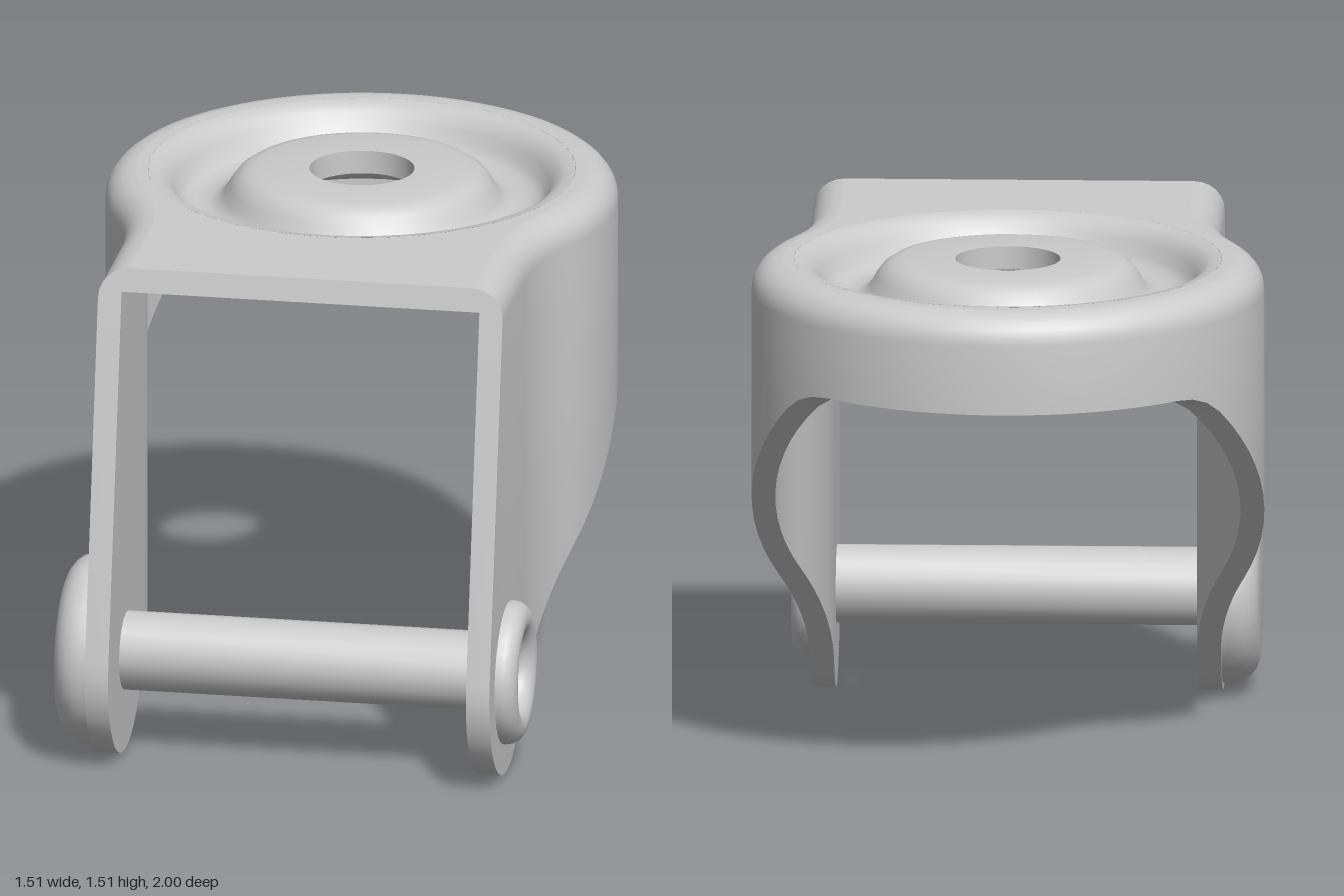
import * as THREE from 'three';
import { toCreasedNormals } from 'three/addons/utils/BufferGeometryUtils.js';

const TOP = 1.515, WALL = 0.07, FILLET = 0.09;
const CZ = -0.25, R = 0.755;              // swivel disc centre and radius
const HALF = 0.605, NECK_Z = 0.42;        // half width of the fork, start of the straight legs
const PIN_Y = 0.305, PIN_Z = 0.7, FRONT_Z = 0.76;
const DISH_R = 0.63;

const material = new THREE.MeshStandardMaterial({ color: 0xcccccc, side: THREE.DoubleSide });

function part(name, geometry, crease = 0.6) {
  const mesh = new THREE.Mesh(toCreasedNormals(geometry, crease), material);
  mesh.name = name;
  return mesh;
}

// Lower edge of the side walls: a diagonal easing into the level rear skirt
function lowerEdge(z) {
  if (z > -0.65) return 0.081 + 0.93 * (0.496 - z);
  const t = Math.min((-0.65 - z) / 0.15, 1);
  return 1.147 + 0.14 * t * (1 - t / 2);
}

// Stations along one half of the keyhole outline, front to back
function halfOutline() {
  const out = [];
  // Straight leg: lower ends run along the rounded foot
  const foot = [];
  const n = 16, a0 = 3.96, a1 = 6.49;
  for (let i = 0; i <= n; i++) {
    const a = a1 + (a0 - a1) * i / n;
    foot.push([PIN_Z + 0.3 * Math.cos(a), 0.3 + 0.3 * Math.sin(a)]);
  }
  foot.push([NECK_Z, lowerEdge(NECK_Z)]);
  foot.forEach(([bz, by], i) => {
    const z = FRONT_Z + (NECK_Z - FRONT_Z) * i / (foot.length - 1);
    out.push({ x: HALF, z, nx: 1, nz: 0, bz, by });
  });
  // Concave neck arc
  const r = 0.816, sweep = 0.4407;
  for (let i = 1; i <= 8; i++) {
    const a = sweep * i / 8;
    out.push({ x: HALF + r - r * Math.cos(a), z: NECK_Z - r * Math.sin(a), nx: Math.cos(a), nz: Math.sin(a) });
  }
  // Disc arc to the rear centre
  for (let i = 1; i <= 24; i++) {
    const a = sweep - (sweep + Math.PI / 2) * i / 24;
    out.push({ x: R * Math.cos(a), z: CZ + R * Math.sin(a), nx: Math.cos(a), nz: Math.sin(a) });
  }
  return out;
}

function fullOutline() {
  const half = halfOutline();
  const other = half.slice(0, -1).reverse().map(s => ({ ...s, x: -s.x, nx: -s.nx }));
  return [...half, ...other];
}

// Wall cross-section at a station: inner face, lower edge, outer face, top fillet
function section(s) {
  const at = (d, y) => {
    const z = s.z - s.nz * d;
    const low = s.by ?? lowerEdge(z);
    const yy = y ?? low;
    const shift = s.bz === undefined ? 0 : (s.bz - s.z) * (TOP - yy) / (TOP - low);
    return [s.x - s.nx * d, yy, z + shift];
  };
  const pts = [at(FILLET, TOP - WALL), at(WALL, TOP - WALL), at(WALL), at(0)];
  for (let i = 0; i <= 6; i++) {
    const a = Math.PI / 2 * i / 6;
    pts.push(at(FILLET * (1 - Math.cos(a)), TOP - FILLET + FILLET * Math.sin(a)));
  }
  return pts;
}

function wallGeometry(outline) {
  const rows = outline.map(section), m = rows[0].length;
  const index = [];
  for (let i = 0; i < rows.length - 1; i++) {
    for (let j = 0; j < m - 1; j++) {
      const a = i * m + j, b = a + m;
      index.push(a, b, b + 1, a, b + 1, a + 1);
    }
  }
  // Front edges of both legs
  for (const i of [0, rows.length - 1]) {
    const flat = rows[i].map(p => new THREE.Vector2(p[0], p[1]));
    for (const f of THREE.ShapeUtils.triangulateShape(flat, [])) index.push(...f.map(k => i * m + k));
  }
  const g = new THREE.BufferGeometry();
  g.setAttribute('position', new THREE.Float32BufferAttribute(rows.flat(2), 3));
  g.setIndex(index);
  return g;
}

// Flat top with a round opening for the dish
function plateGeometry(outline) {
  const shape = new THREE.Shape(outline.map(s =>
    new THREE.Vector2(s.x - s.nx * FILLET, -(s.z - s.nz * FILLET))));
  shape.holes.push(new THREE.Path().absarc(0, -CZ, DISH_R, 0, Math.PI * 2, true));
  const g = new THREE.ExtrudeGeometry(shape, { depth: WALL, bevelEnabled: false, curveSegments: 48 });
  g.rotateX(-Math.PI / 2).translate(0, TOP - WALL, 0);
  // Slant the front edge in line with the legs
  const p = g.attributes.position;
  for (let i = 0; i < p.count; i++) {
    if (p.getZ(i) > FRONT_Z - 0.01) p.setZ(i, p.getZ(i) + (TOP - p.getY(i)) * 0.203);
  }
  return g;
}

const lathe = (pts, segments) =>
  new THREE.LatheGeometry(pts.map(p => new THREE.Vector2(p[0], p[1])), segments);

// Pressed dish: ring groove around a raised centre with a hole
function dishGeometry() {
  const top = [[DISH_R, TOP], [0.6, 1.51], [0.575, 1.493], [0.555, 1.465], [0.54, 1.435], [0.52, 1.414],
    [0.49, 1.405], [0.45, 1.405], [0.425, 1.413], [0.405, 1.435], [0.39, 1.463], [0.37, 1.49],
    [0.345, 1.507], [0.31, TOP], [0.155, TOP]];
  const under = top.map(([r, y]) => {
    let shift = 0;
    if (r > 0.48 && r < DISH_R) shift = 0.035 * Math.sin(Math.PI * (r - 0.48) / 0.15);
    if (r > 0.3 && r < 0.46) shift = -0.035 * Math.sin(Math.PI * (r - 0.3) / 0.16);
    return [Math.min(r + shift, DISH_R), y - WALL];
  }).reverse();
  return lathe([...top, ...under], 48).translate(0, 0, CZ);
}

export function createModel() {
  const model = new THREE.Group();
  model.name = 'casterFork';

  const outline = fullOutline();
  const fork = new THREE.Group();
  fork.name = 'fork';
  fork.add(
    part('forkWalls', wallGeometry(outline)),
    part('topPlate', plateGeometry(outline)),
    part('swivelDish', dishGeometry(), 0.75),
  );
  model.add(fork);

  // Axle with a domed head on one side and a rolled collar on the other
  const axle = new THREE.Group();
  axle.name = 'axle';
  axle.position.set(0, PIN_Y, PIN_Z);
  const pin = new THREE.CylinderGeometry(0.117, 0.117, 1.2, 16).rotateZ(Math.PI / 2);
  axle.add(part('axlePin', pin));

  const head = [[0.285, 0]];
  for (let i = 0; i <= 6; i++) {
    const a = Math.PI / 2 * i / 6;
    head.push([0.195 + 0.09 * Math.cos(a), 0.025 + 0.09 * Math.sin(a)]);
  }
  head.push([0, 0.115]);
  const headMesh = part('axleHead', lathe(head, 32).rotateZ(Math.PI / 2));
  headMesh.position.x = -0.6;
  axle.add(headMesh);

  const collar = [[0.213, 0]];
  for (let i = 0; i <= 10; i++) {
    const a = Math.PI * i / 10;
    collar.push([0.161 + 0.052 * Math.cos(a), 0.015 + 0.05 * Math.sin(a)]);
  }
  collar.push([0.109, 0]);
  const collarMesh = part('axleCollar', lathe(collar, 32).rotateZ(-Math.PI / 2));
  collarMesh.position.x = 0.6;
  axle.add(collarMesh);
  model.add(axle);

  return model;
}
